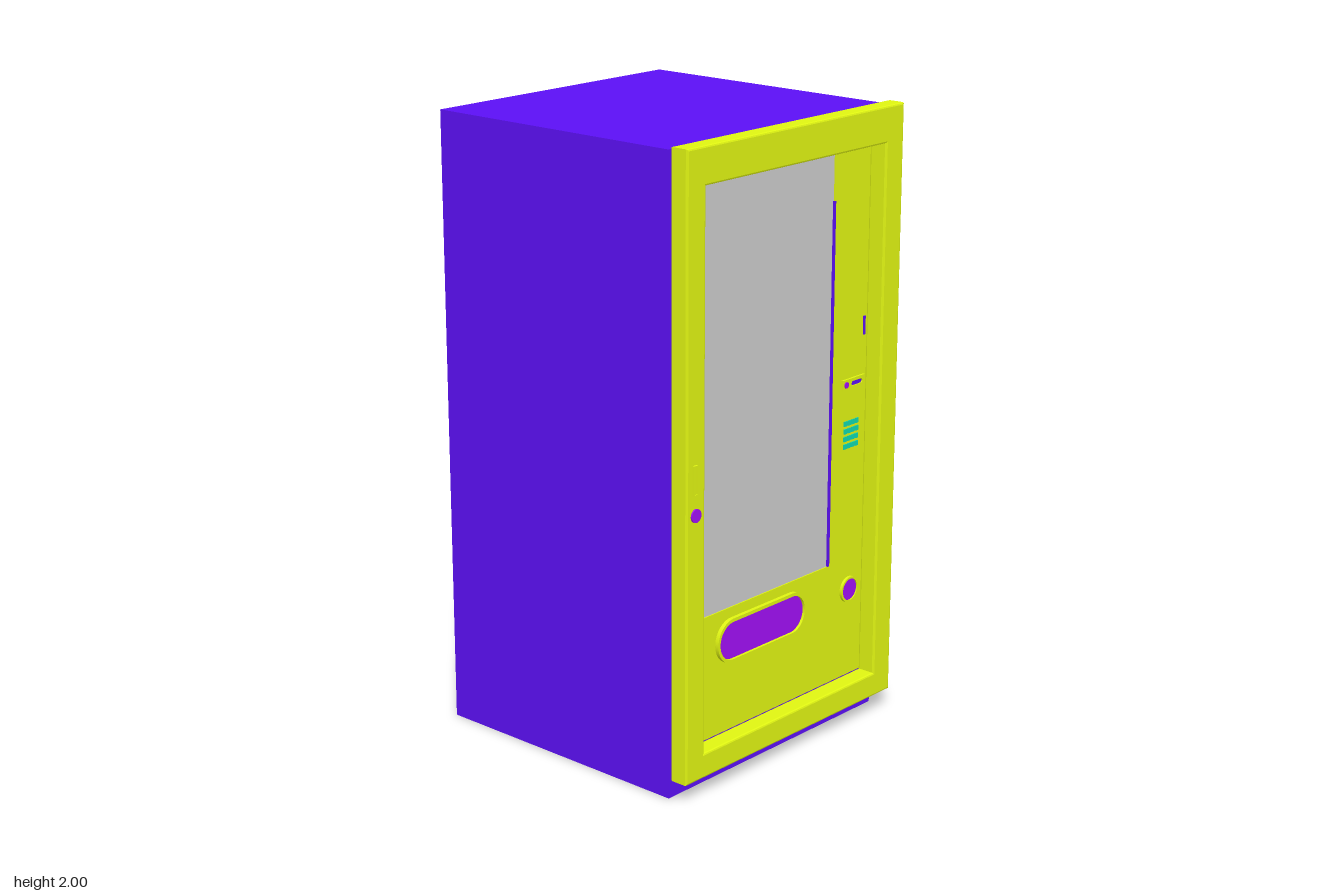
import * as THREE from 'three';

const mat = (color) => new THREE.MeshStandardMaterial({ color });
const YELLOW = mat(0xe0f512), BLUE = mat(0x5c10f5), VIOLET = mat(0xa010f5);
const TEAL = mat(0x10d8b0), GREY = mat(0xcccccc);

// Rectangle, or a rounded slot when r > 0, given by its edges
function outline(x0, y0, x1, y1, r = 0, Type = THREE.Shape) {
  const s = new Type();
  if (r === 0) {
    s.moveTo(x0, y0).lineTo(x1, y0).lineTo(x1, y1).lineTo(x0, y1).closePath();
    return s;
  }
  s.moveTo(x0 + r, y0).lineTo(x1 - r, y0);
  s.absarc(x1 - r, y0 + r, r, -Math.PI / 2, 0, false);
  s.absarc(x1 - r, y1 - r, r, 0, Math.PI / 2, false);
  s.absarc(x0 + r, y1 - r, r, Math.PI / 2, Math.PI, false);
  s.absarc(x0 + r, y0 + r, r, Math.PI, Math.PI * 1.5, false);
  return s;
}

export function createModel() {
  const model = new THREE.Group();
  model.name = 'vendingMachine';

  const add = (name, geometry, material, parent = model) => {
    const mesh = new THREE.Mesh(geometry, material);
    mesh.name = name;
    parent.add(mesh);
    return mesh;
  };
  // Box given by its minimum and maximum corners
  const box = (name, material, x0, x1, y0, y1, z0, z1, parent) => {
    const mesh = add(name, new THREE.BoxGeometry(x1 - x0, y1 - y0, z1 - z0), material, parent);
    mesh.position.set((x0 + x1) / 2, (y0 + y1) / 2, (z0 + z1) / 2);
    return mesh;
  };
  const extrude = (name, material, shape, z0, z1, parent) => {
    const g = new THREE.ExtrudeGeometry(shape, { depth: z1 - z0, bevelEnabled: false, curveSegments: 12 });
    g.translate(0, 0, z0);
    return add(name, g, material, parent);
  };
  // Round part facing the front
  const disc = (name, material, x, y, r, z0, z1, parent) => {
    const g = new THREE.CylinderGeometry(r, r, z1 - z0, 24).rotateX(Math.PI / 2);
    const mesh = add(name, g, material, parent);
    mesh.position.set(x, y, (z0 + z1) / 2);
    return mesh;
  };

  // Cabinet
  box('cabinet', BLUE, -0.494, 0.491, 0, 1.99, -0.505, 0.425);

  // Door frame with softened outer edges
  const bevel = 0.006;
  const door = outline(-0.498 + bevel, 0.065 + bevel, 0.498 - bevel, 2 - bevel);
  door.holes.push(outline(-0.418 - bevel, 0.145 - bevel, 0.413 + bevel, 1.885 + bevel, 0, THREE.Path));
  const doorGeometry = new THREE.ExtrudeGeometry(door, {
    depth: 0.063 - 2 * bevel, bevelThickness: bevel, bevelSize: bevel, bevelSegments: 2,
  });
  doorGeometry.translate(0, 0, 0.437 + bevel);
  add('doorFrame', doorGeometry, YELLOW);

  // Recessed front panel around the window
  const panel = outline(-0.418, 0.145, 0.422, 1.885);
  panel.holes.push(outline(-0.417, 0.545, 0.245, 1.884, 0, THREE.Path));
  extrude('frontPanel', YELLOW, panel, 0.42, 0.437);
  box('window', GREY, -0.417, 0.245, 0.545, 1.884, 0.42, 0.433);
  box('windowTrim', BLUE, 0.241, 0.249, 0.545, 1.725, 0.425, 0.439);

  // Collection hatch
  const hatch = new THREE.Group();
  hatch.name = 'collectionHatch';
  model.add(hatch);
  const rim = outline(-0.297, 0.368, 0.126, 0.512, 0.072);
  rim.holes.push(outline(-0.287, 0.379, 0.116, 0.501, 0.061, THREE.Path));
  extrude('hatchRim', YELLOW, rim, 0.43, 0.45, hatch);
  extrude('hatchFlap', VIOLET, outline(-0.288, 0.378, 0.117, 0.502, 0.062), 0.43, 0.441, hatch);

  // Coin return
  const coinRim = outline(0.307, 0.397, 0.393, 0.483, 0.043);
  coinRim.holes.push(outline(0.314, 0.404, 0.386, 0.476, 0.036, THREE.Path));
  extrude('coinReturnRim', YELLOW, coinRim, 0.43, 0.446);
  disc('coinReturn', VIOLET, 0.35, 0.44, 0.037, 0.43, 0.442);

  // Keypad
  const keypad = new THREE.Group();
  keypad.name = 'keypad';
  model.add(keypad);
  for (let row = 0; row < 4; row++) {
    for (let col = 0; col < 4; col++) {
      const x = 0.317 + col * 0.019, y = 0.926 + row * 0.025;
      box('key', TEAL, x - 0.007, x + 0.007, y - 0.008, y + 0.008, 0.43, 0.441, keypad);
    }
  }

  // Payment unit with slot and button
  const payment = new THREE.Group();
  payment.name = 'paymentUnit';
  model.add(payment);
  const plate = outline(0.295, 1.113, 0.404, 1.147);
  plate.holes.push(outline(0.338, 1.122, 0.392, 1.137, 0.0074, THREE.Path));
  extrude('paymentPlate', YELLOW, plate, 0.43, 0.444, payment);
  box('paymentSlot', BLUE, 0.337, 0.393, 1.121, 1.138, 0.43, 0.44, payment);
  disc('paymentButton', VIOLET, 0.311, 1.13, 0.01, 0.43, 0.447, payment);

  // Note slot
  box('noteSlot', BLUE, 0.398, 0.406, 1.275, 1.335, 0.43, 0.441);

  // Door handle and lock
  const handle = outline(-0.473, 0.977, -0.455, 1.07);
  handle.holes.push(outline(-0.469, 0.981, -0.459, 1.066, 0, THREE.Path));
  extrude('handleFrame', YELLOW, handle, 0.49, 0.506);
  box('handleGrip', YELLOW, -0.469, -0.459, 0.981, 1.066, 0.49, 0.503);
  disc('lock', VIOLET, -0.46, 0.915, 0.021, 0.49, 0.505);

  return model;
}
